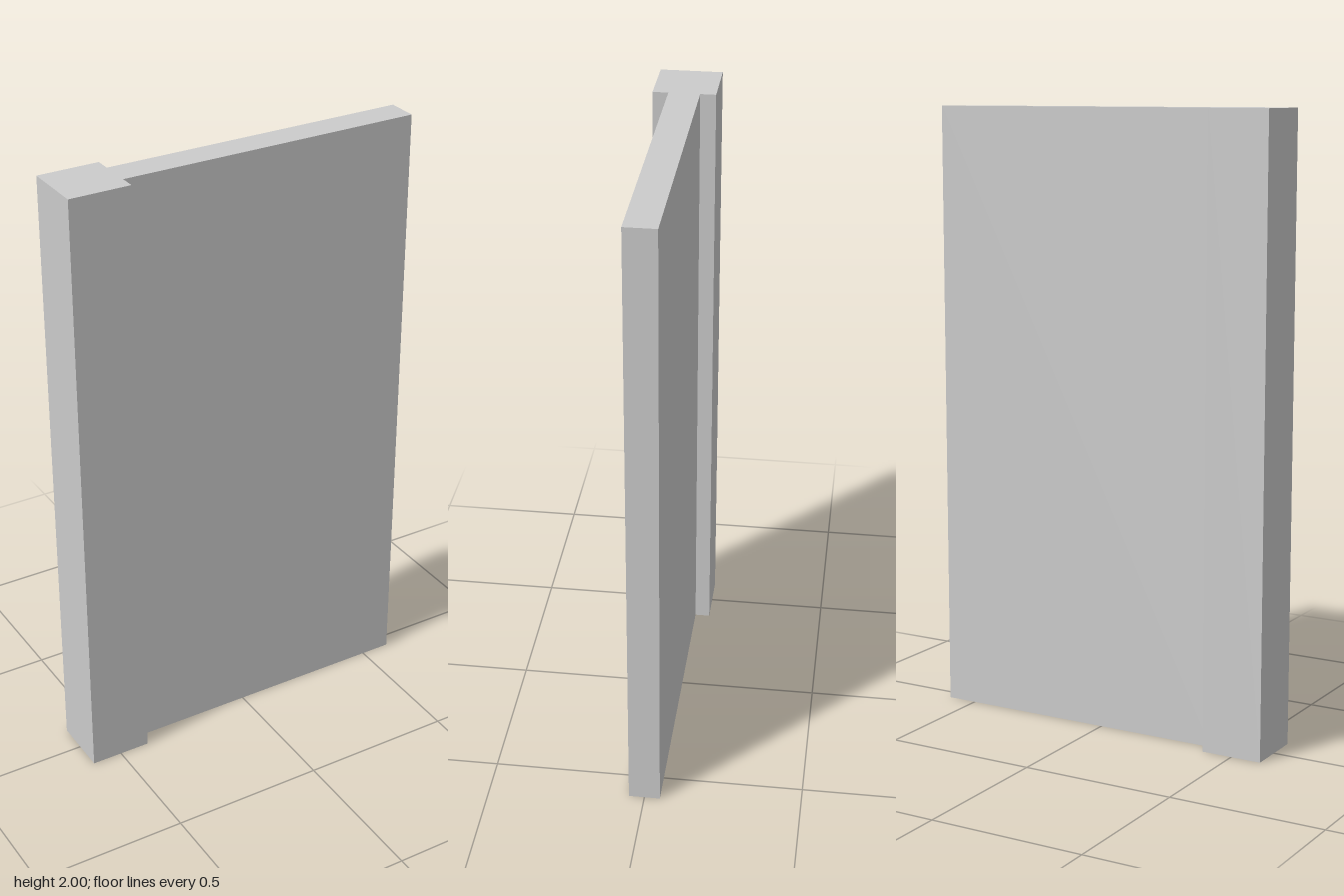
import * as THREE from 'three';

const HEIGHT = 2;
const HALF_WIDTH = 0.6;
const POST_EDGE = -0.4;   // where the post meets the panel
const POST_HALF = 0.1;    // half depth of the post
const PANEL_HALF = 0.05;  // half depth of the panel

export function createModel() {
  const group = new THREE.Group();
  group.name = 'wallPanelWithPost';

  // T-shaped floor plan: a square post at the right end, a thin panel beside it
  const plan = new THREE.Shape([
    [-HALF_WIDTH, -POST_HALF],
    [POST_EDGE, -POST_HALF],
    [POST_EDGE, -PANEL_HALF],
    [HALF_WIDTH, -PANEL_HALF],
    [HALF_WIDTH, PANEL_HALF],
    [POST_EDGE, PANEL_HALF],
    [POST_EDGE, POST_HALF],
    [-HALF_WIDTH, POST_HALF],
  ].map(([x, z]) => new THREE.Vector2(x, z)));

  // Raise the plan to full height as one solid
  const geometry = new THREE.ExtrudeGeometry(plan, { depth: HEIGHT, bevelEnabled: false });
  geometry.rotateX(-Math.PI / 2);

  const wall = new THREE.Mesh(
    geometry,
    new THREE.MeshStandardMaterial({ color: 0xcccccc, flatShading: true })
  );
  wall.name = 'postAndPanel';
  group.add(wall);

  return group;
}
